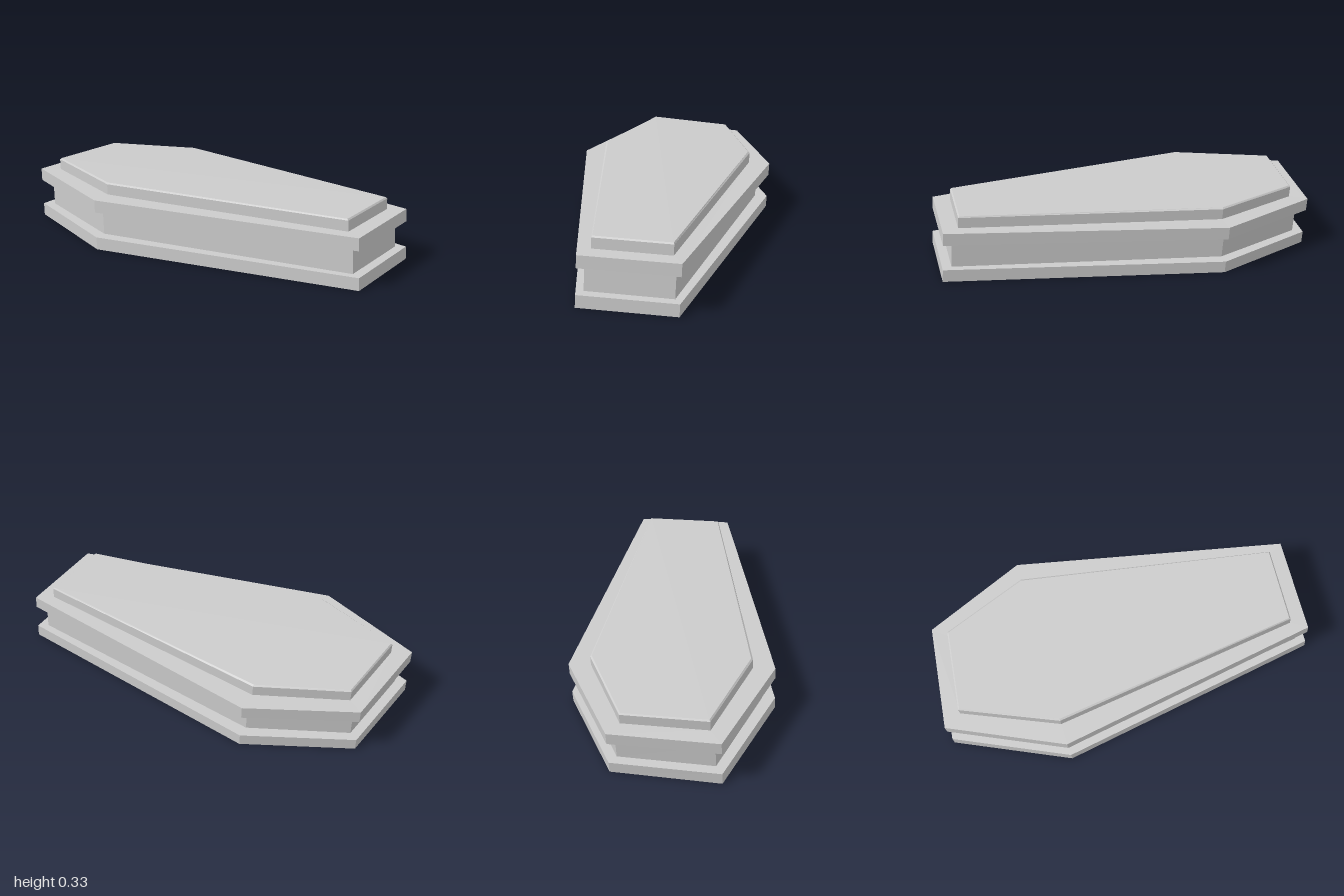
import * as THREE from 'three';

// Six corners [x, z]: outer rim, raised top panel, and how far each corner sags
const RIM = [[-1, 0.262], [-0.42, 0.517], [0.969, 0.249], [0.982, -0.25], [-0.42, -0.524], [-0.945, -0.284]];
const PANEL = [[-0.906, 0.208], [-0.42, 0.405], [0.885, 0.198], [0.9, -0.197], [-0.42, -0.41], [-0.864, -0.224]];
const SAG = [0, 0, 0, 0, 0.015, 0.012];

// Hexagonal section: t = 0 is the rim outline, t = 1 the panel outline; the body leans slightly
function ring(t, y) {
  return RIM.map(([x, z], i) => new THREE.Vector3(
    x + (PANEL[i][0] - x) * t + (0.265 - y) * 0.06,
    y - SAG[i] * Math.min(1, y / 0.2),
    z + (PANEL[i][1] - z) * t + (0.265 - y) * 0.037
  ));
}

// Flat-sided skin through a list of [t, y] sections, with an optional lid on the last one
function skin(name, sections, capped = false) {
  const pos = [];
  const tri = (...pts) => pts.forEach((p) => pos.push(p.x, p.y, p.z));
  const rings = sections.map(([t, y]) => ring(t, y));
  for (let k = 0; k < rings.length - 1; k++) {
    for (let i = 0; i < 6; i++) {
      const j = (i + 1) % 6;
      const lo = rings[k], hi = rings[k + 1];
      tri(lo[i], lo[j], hi[j]);
      tri(lo[i], hi[j], hi[i]);
    }
  }
  if (capped) {
    const top = rings[rings.length - 1];
    for (let i = 1; i < 5; i++) tri(top[0], top[i], top[i + 1]);
  }
  const geometry = new THREE.BufferGeometry();
  geometry.setAttribute('position', new THREE.Float32BufferAttribute(pos, 3));
  geometry.computeVertexNormals();
  const mesh = new THREE.Mesh(geometry, new THREE.MeshStandardMaterial({
    color: 0xcccccc, flatShading: true, side: THREE.DoubleSide
  }));
  mesh.name = name;
  return mesh;
}

export function createModel() {
  const WALL = 0.58;
  const group = new THREE.Group();
  group.name = 'coffin';
  group.add(
    // Open-bottomed plinth with a ledge up to the wall
    skin('basePlinth', [[0, 0], [0, 0.065], [WALL, 0.065]]),
    skin('sideWalls', [[WALL, 0.065], [WALL, 0.2]]),
    // Overhanging hollow lid
    skin('lidRim', [[WALL, 0.2], [0, 0.2], [0, 0.265], [1, 0.265]]),
    // Lining from the wall top up to the panel
    skin('lidLining', [[WALL, 0.2], [1, 0.21], [1, 0.265]]),
    // Raised panel with a small bevel, closing the hollow interior
    skin('topPanel', [[1, 0.265], [1, 0.32], [1.08, 0.327]], true)
  );
  return group;
}
